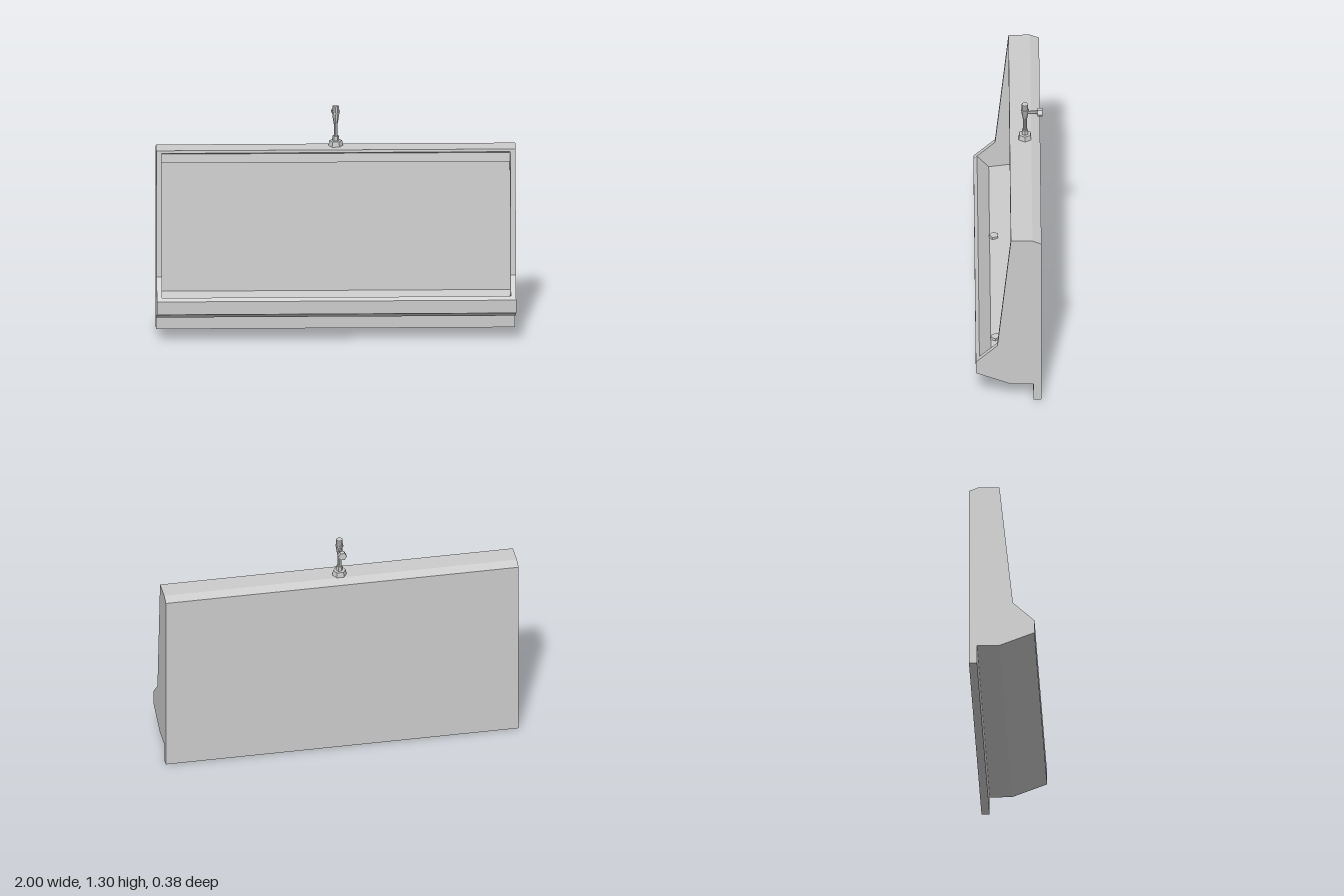
import * as THREE from 'three';

const grey = new THREE.MeshStandardMaterial({ color: 0xcccccc, flatShading: true });

// Profiles are [z, y] points.
const base = [[-0.175, 0], [-0.13, 0], [-0.13, 0.105], [-0.005, 0.105], [0.19, 0.18], [0.19, 0.255]];
const crown = [[-0.005, 1.075], [-0.125, 1.075], [-0.175, 1.055]];
const cheekProfile = [...base, [0.07, 0.365], ...crown];
// Lip, basin floor, leaning back wall and the flush ledge under the top
const cavity = [
  [0.17, 0.272], [0.105, 0.2], [-0.103, 0.228], [-0.16, 0.975],
  [-0.015, 1.0], [-0.022, 1.05], [-0.0034, 1.06],
];
const bodyProfile = [...base, ...cavity, ...crown];

function add(parent, name, geometry, x = 0, y = 0, z = 0) {
  const mesh = new THREE.Mesh(geometry, grey);
  mesh.name = name;
  mesh.position.set(x, y, z);
  parent.add(mesh);
  return mesh;
}

// Sweeps a [z, y] profile along x, centred on x = 0
function sweep(profile, width) {
  const shape = new THREE.Shape(profile.map(([z, y]) => new THREE.Vector2(z, y)));
  const geometry = new THREE.ExtrudeGeometry(shape, { depth: width, bevelEnabled: false });
  return geometry.rotateY(-Math.PI / 2).translate(width / 2, 0, 0);
}

// Upright prism standing on its own origin
function prism(rTop, rBottom, height, sides, turn = 0) {
  return new THREE.CylinderGeometry(rTop, rBottom, height, sides)
    .rotateY(turn).translate(0, height / 2, 0);
}

function createFlushValve() {
  const valve = new THREE.Group();
  valve.name = 'flushValve';
  valve.position.set(0, 1.075, -0.09);
  const hex = Math.PI / 6;
  add(valve, 'baseNut', prism(0.036, 0.04, 0.03, 6, hex));
  add(valve, 'collarNut', prism(0.018, 0.018, 0.027, 6, hex), 0, 0.03);

  // Pipe widening into the valve head
  const outline = [[0, 0.05], [0.011, 0.05], [0.011, 0.125], [0.018, 0.165], [0.018, 0.23], [0, 0.23]];
  add(valve, 'pipeAndHead', new THREE.LatheGeometry(outline.map(([r, y]) => new THREE.Vector2(r, y)), 10));
  add(valve, 'headRing', prism(0.022, 0.022, 0.008, 10), 0, 0.186);

  // Push button arm reaching to the back
  const arm = new THREE.Group();
  arm.name = 'buttonArm';
  arm.position.y = 0.174;
  arm.rotation.x = -Math.PI / 2;
  add(arm, 'armPipe', prism(0.009, 0.009, 0.075, 8));
  add(arm, 'armCollar', prism(0.013, 0.013, 0.008, 8), 0, 0.063);
  add(arm, 'button', prism(0.024, 0.024, 0.027, 6, hex), 0, 0.071);
  valve.add(arm);
  return valve;
}

export function createModel() {
  const model = new THREE.Group();
  model.name = 'troughUrinal';

  add(model, 'troughBody', sweep(bodyProfile, 1.94));
  for (const side of [-1, 1]) {
    add(model, side < 0 ? 'rightCheek' : 'leftCheek', sweep(cheekProfile, 0.03), side * 0.985);
  }

  // Loose tablets lying in the basin
  [[-0.285, 0.08], [0.695, 0.08], [0.88, 0.012]].forEach(([x, z], i) => {
    add(model, 'tablet' + (i + 1), prism(0.028, 0.028, 0.02, 5, i * 0.4), x, 0.197, z);
  });

  // Domed drain strainer
  const drain = [[0.034, 0], [0.034, 0.012], [0.024, 0.018], [0.021, 0.028], [0, 0.033]];
  add(model, 'drain', new THREE.LatheGeometry(drain.map(([r, y]) => new THREE.Vector2(r, y)), 8), 0.89, 0.2, 0.062);

  model.add(createFlushValve());
  model.position.z = -0.007;
  return model;
}
